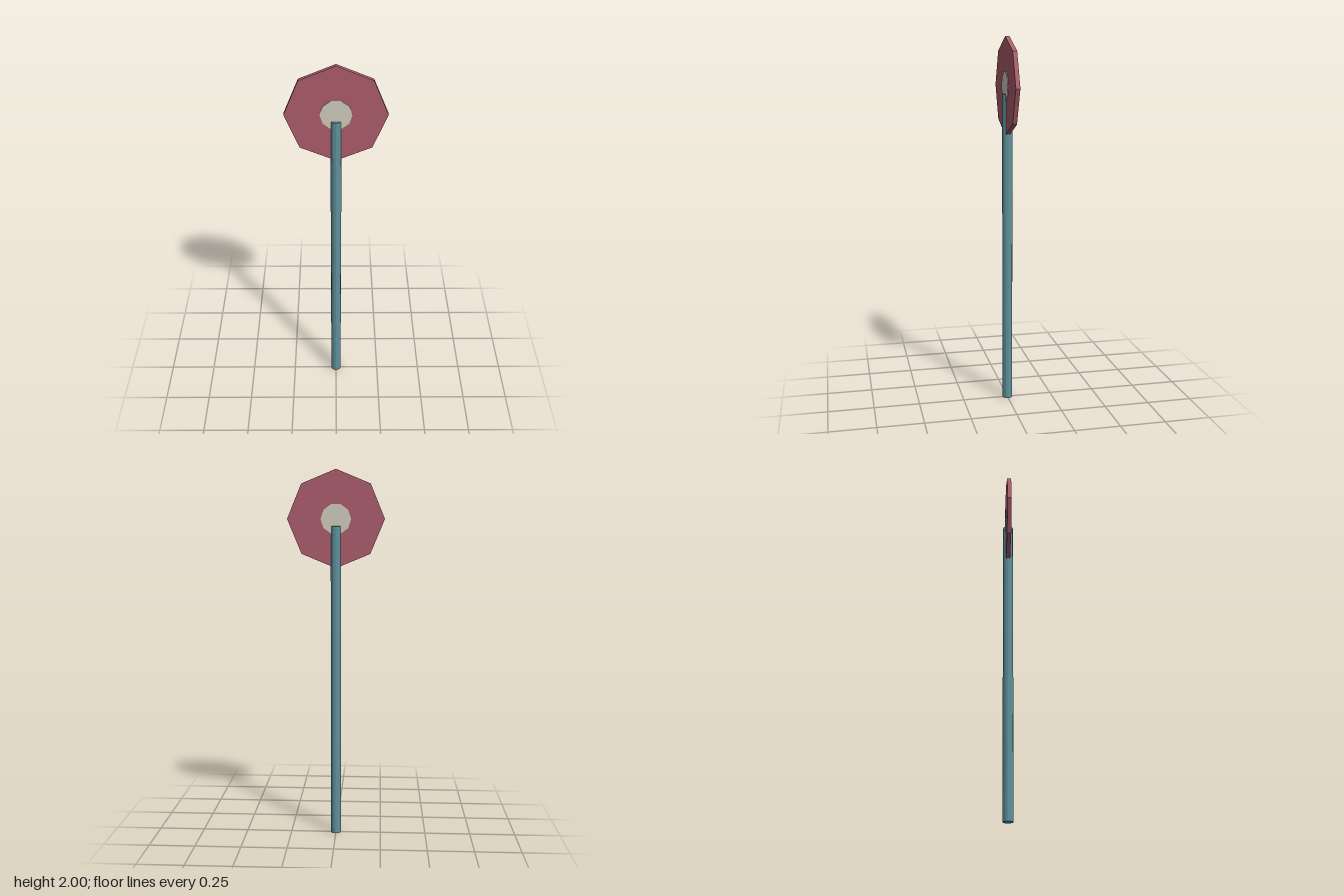
import * as THREE from 'three';

export function createModel() {
  const model = new THREE.Group();
  const red = new THREE.MeshStandardMaterial({ color: 0xad5e6d, flatShading: true });
  red.name = 'dusty red';
  const cream = new THREE.MeshStandardMaterial({ color: 0xd3cdbd, flatShading: true });
  cream.name = 'cream';
  const teal = new THREE.MeshStandardMaterial({ color: 0x5f929d, flatShading: true });
  teal.name = 'teal';

  const discY = 1.741;

  // Faceted disc facing +z, with one corner turned to the given angle
  function disc(name, radius, sides, depth, material, z = 0, turn = 0) {
    const geometry = new THREE.CylinderGeometry(radius, radius, depth, sides);
    geometry.rotateY(turn).rotateX(Math.PI / 2);
    const mesh = new THREE.Mesh(geometry, material);
    mesh.name = name;
    mesh.position.set(0, discY, z);
    model.add(mesh);
  }

  // Upright pole
  const pole = new THREE.Mesh(new THREE.CylinderGeometry(0.028, 0.028, 1.703, 12), teal);
  pole.name = 'pole';
  pole.position.y = 1.703 / 2;
  model.add(pole);

  // Octagonal sign plate
  disc('signPlate', 0.259, 8, 0.023, red);

  // Thin round badge on each face
  for (const side of [1, -1]) {
    disc(side > 0 ? 'frontBadge' : 'backBadge', 0.081, 10, 0.004, cream, side * 0.0125, Math.PI / 2);
  }

  return model;
}
